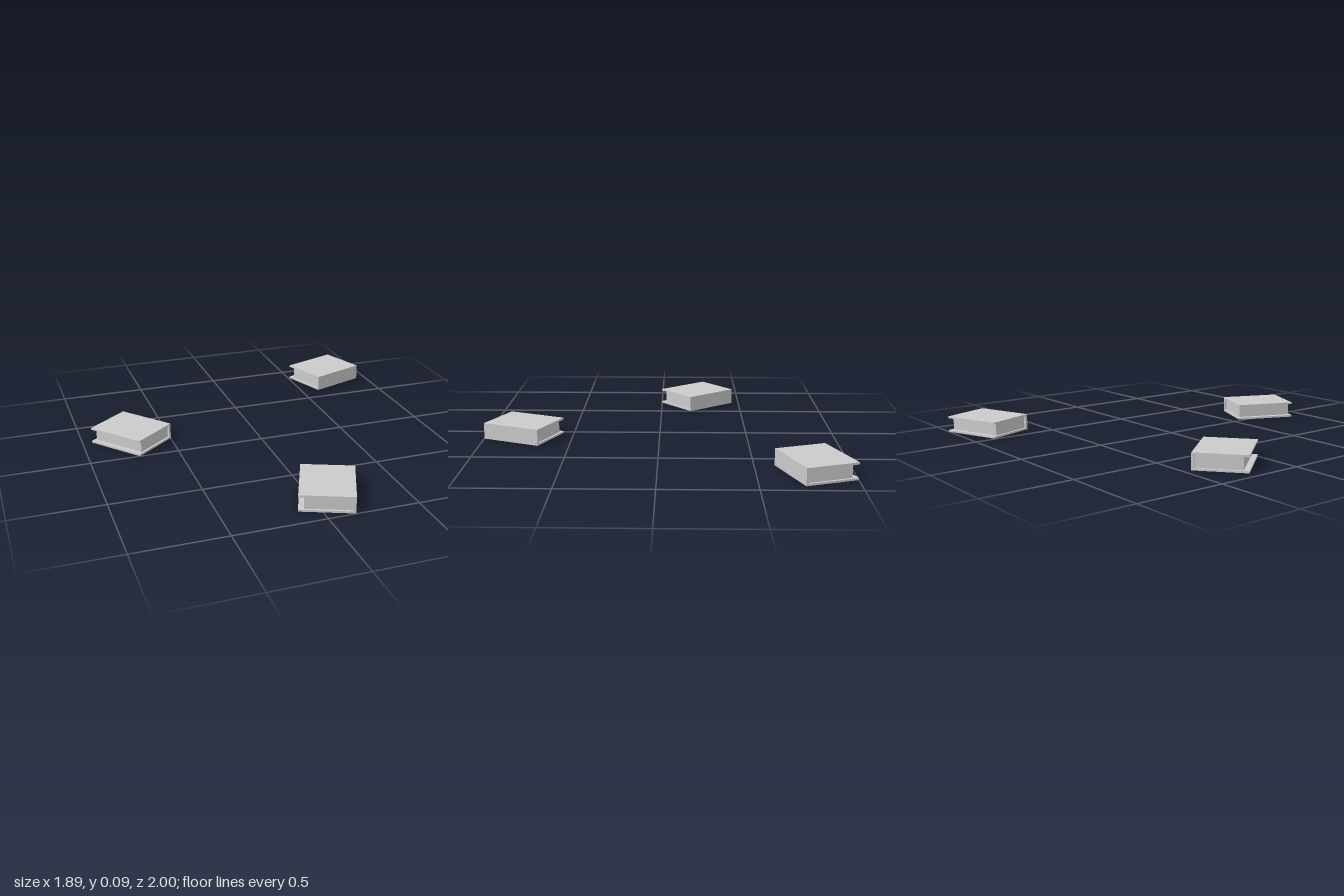
import * as THREE from 'three';

const WIDTH = 0.29, LENGTH = 0.352, HEIGHT = 0.092;
const BOARD = 0.011, SPINE = 0.014;
const FORE_INSET = 0.03, END_INSET = 0.012;

// One closed book: spine on local +x, length along z, resting on y = 0
function createBook(material) {
  const book = new THREE.Group();

  // Cover: C-shaped section (two boards and a spine) extruded along the length
  const h = WIDTH / 2;
  const section = new THREE.Shape([
    [-h, 0], [h, 0], [h, HEIGHT], [-h, HEIGHT],
    [-h, HEIGHT - BOARD], [h - SPINE, HEIGHT - BOARD],
    [h - SPINE, BOARD], [-h, BOARD],
  ].map(([x, y]) => new THREE.Vector2(x, y)));
  const coverGeometry = new THREE.ExtrudeGeometry(section, { depth: LENGTH, bevelEnabled: false });
  coverGeometry.translate(0, 0, -LENGTH / 2);
  const cover = new THREE.Mesh(coverGeometry, material);
  cover.name = 'cover';

  // Page block, set back from the open edges
  const pageWidth = WIDTH - SPINE - FORE_INSET;
  const pages = new THREE.Mesh(
    new THREE.BoxGeometry(pageWidth, HEIGHT - 2 * BOARD, LENGTH - 2 * END_INSET), material);
  pages.name = 'pages';
  pages.position.set(-h + FORE_INSET + pageWidth / 2, HEIGHT / 2, 0);

  book.add(cover, pages);
  return book;
}

export function createModel() {
  const model = new THREE.Group();
  model.name = 'scatteredBooks';
  const material = new THREE.MeshStandardMaterial({ color: 0xcccccc, flatShading: true });

  // Name, x, z and turn of each book
  const layout = [
    ['frontBook', 0.086, 0.779, -0.403],
    ['backBook', 0.725, -0.804, -1.22],
    ['sideBook', -0.722, -0.228, 0.688],
  ];
  for (const [name, x, z, turn] of layout) {
    const book = createBook(material);
    book.name = name;
    book.position.set(x, 0, z);
    book.rotation.y = turn;
    model.add(book);
  }
  return model;
}
